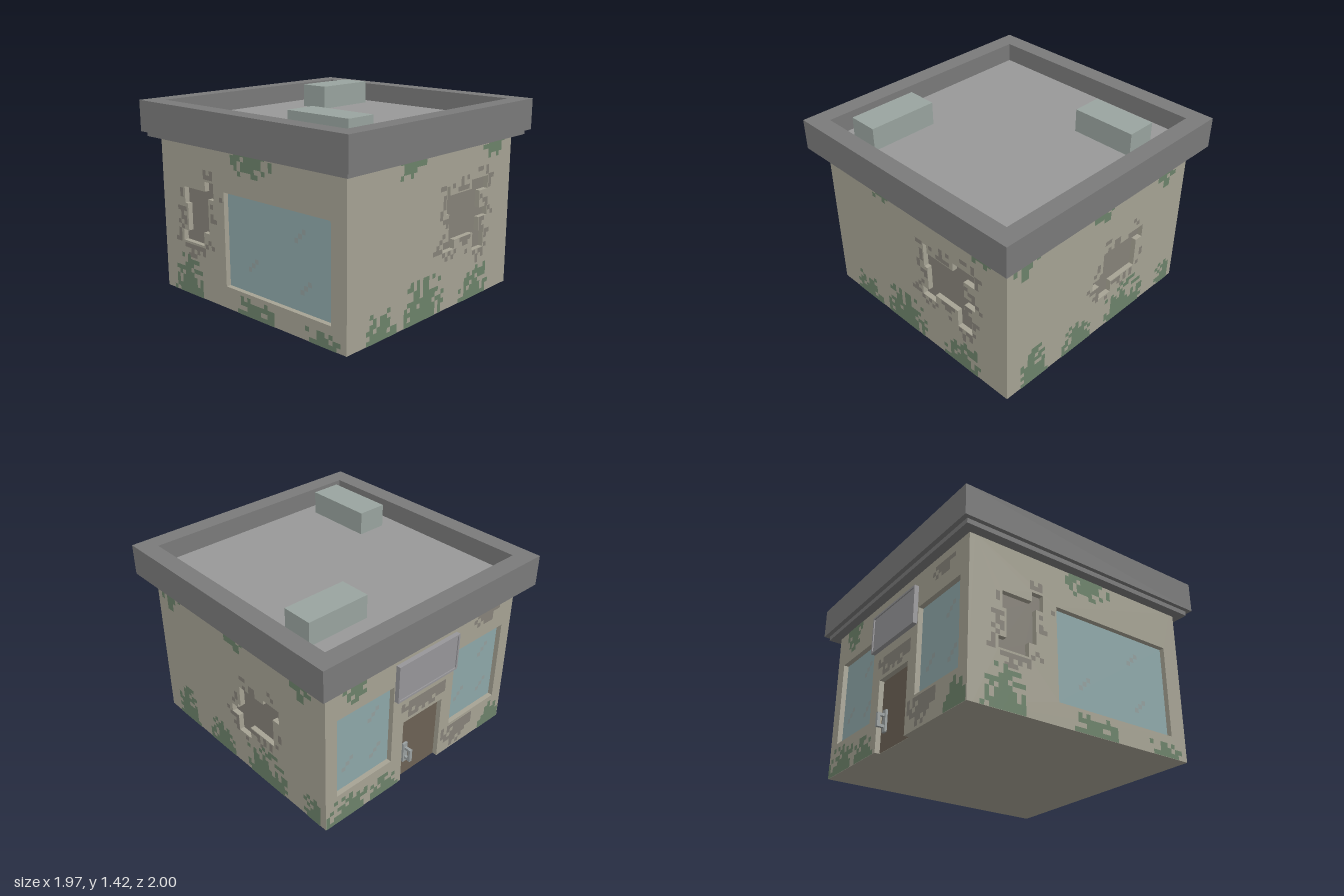
import * as THREE from 'three';
import { mergeGeometries } from 'three/addons/utils/BufferGeometryUtils.js';

const HX = 0.885, HZ = 0.9, WALL_H = 1.14, DEPTH = 0.04, CELL = 0.0335;

const mat = (color) => new THREE.MeshStandardMaterial({ color, flatShading: true });
const M = {
  wall: mat(0xa7a495), stain: mat(0x87837a), moss: mat(0x6d836b), trim: mat(0x7b7b7b), roof: mat(0x999999),
  unit: mat(0x9aa5a0), glass: mat(0x8fa9aa), door: mat(0x6d6356), metal: mat(0x9ba1a1), sign: mat(0x98979a),
  scratch: mat(0x94a09f),
};

// Small repeatable number generator
let seed = 11;
const rand = () => {
  seed = (seed * 16807) % 2147483647;
  return seed / 2147483647;
};

function add(parent, name, geometry, material, x = 0, y = 0, z = 0) {
  const mesh = new THREE.Mesh(geometry, material);
  mesh.name = name;
  mesh.position.set(x, y, z);
  parent.add(mesh);
  return mesh;
}

// Box given by its min and max on each axis
function block(parent, name, material, [x0, x1], [y0, y1], [z0, z1]) {
  return add(parent, name, new THREE.BoxGeometry(x1 - x0, y1 - y0, z1 - z0), material,
    (x0 + x1) / 2, (y0 + y1) / 2, (z0 + z1) / 2);
}

const toPoints = (list) => list.map(([x, y]) => new THREE.Vector2(x, y));
const rect = (x0, x1, y0, y1) => [[x0, y0], [x1, y0], [x1, y1], [x0, y1]];

function inside(poly, x, y) {
  let hit = false;
  poly.forEach(([ax, ay], i) => {
    const [bx, by] = poly[(i + 1) % poly.length];
    if ((ay > y) !== (by > y) && x < ((bx - ax) * (y - ay)) / (by - ay) + ax) hit = !hit;
  });
  return hit;
}

// Square wall marks, kept clear of the openings
function marks(parent, name, material, cells, z) {
  if (!cells.length) return;
  const quads = cells.map(([x, y]) => new THREE.PlaneGeometry(CELL, CELL).translate(x, y, z));
  add(parent, name, mergeGeometries(quads), material);
}

// Ragged patch, densest at its root; dir +1 grows up, -1 hangs down
function patch([u, root, w, h, dir], isFree) {
  const cells = [];
  for (let j = 0; j < h / CELL; j++) {
    for (let i = -Math.round(w / 2 / CELL); i <= w / 2 / CELL; i++) {
      const x = u + i * CELL, y = root + dir * (j + 0.5) * CELL;
      const chance = 1.35 - Math.abs(i * CELL) / w * 1.5 - (j * CELL / h) * 0.75;
      if (rand() < chance && isFree(x, y)) cells.push([x, y]);
    }
  }
  return cells;
}

// Crumbled ring around a broken patch
function halo(poly, isFree) {
  const cells = [];
  for (let x = -0.82; x < 0.83; x += CELL) {
    for (let y = 0.1; y < 1.1; y += CELL) {
      if (!isFree(x, y)) continue;
      for (let k = 1; k <= 3; k++) {
        const d = k * CELL;
        const near = [[d, 0], [-d, 0], [0, d], [0, -d]].some(([a, b]) => inside(poly, x + a, y + b));
        if (near) {
          if (rand() < [0, 0.62, 0.36, 0.18][k]) cells.push([x, y]);
          break;
        }
      }
    }
  }
  return cells;
}

// One wall: u runs to the viewer's right, z points outward
function makeWall(name, half, { broken = [], windows = [], door, moss = [], stains = [] }) {
  const g = new THREE.Group();
  g.name = name;
  const outline = door
    ? [[-half, 0], [-door[0], 0], [-door[0], door[1]], [door[0], door[1]], [door[0], 0], [half, 0]]
    : [[-half, 0], [half, 0]];
  const shape = new THREE.Shape(toPoints([...outline, [half, WALL_H], [-half, WALL_H]]));
  const openings = [...broken, ...windows];
  openings.forEach((p) => shape.holes.push(new THREE.Path(toPoints(p))));
  add(g, 'wallPanel', new THREE.ExtrudeGeometry(shape, { depth: DEPTH, bevelEnabled: false }), M.wall, 0, 0, -DEPTH);

  const pane = (part, poly, material) =>
    add(g, part, new THREE.ShapeGeometry(new THREE.Shape(toPoints(poly))), material, 0, 0, -DEPTH + 0.003);
  broken.forEach((p) => pane('brokenPlaster', p, M.stain));
  windows.forEach((p) => {
    pane('windowGlass', p, M.glass);
    const [[x0, y0], , [x1, y1]] = p, scratches = [];
    [[0.25, 0.3], [0.7, 0.75], [0.75, 0.25]].forEach(([a, b]) => {
      for (let i = -1; i <= 1; i++) scratches.push([x0 + (x1 - x0) * a + i * CELL, y0 + (y1 - y0) * b + i * CELL]);
    });
    marks(g, 'glassScratches', M.scratch, scratches, -DEPTH + 0.005);
  });
  const blocked = [...openings];
  if (door) {
    const leaf = rect(-door[0], door[0], 0, door[1]);
    pane('door', leaf, M.door);
    blocked.push(leaf);
  }

  const e = CELL * 0.42;
  const isFree = (x, y) => Math.abs(x) < half - CELL / 2 && y > 0 && y < WALL_H &&
    !blocked.some((p) => [[e, e], [-e, e], [e, -e], [-e, -e]].some(([a, b]) => inside(p, x + a, y + b)));
  marks(g, 'plasterStains', M.stain,
    [...broken.flatMap((p) => halo(p, isFree)), ...stains.flatMap((s) => patch(s, isFree))], 0.002);
  marks(g, 'moss', M.moss, moss.flatMap((m) => patch(m, isFree)), 0.003);
  return g;
}

export function createModel() {
  const model = new THREE.Group();
  model.name = 'shop';
  const low = (u, w, h) => [u, 0, w, h, 1];
  const high = (u, w, h) => [u, 1.135, w, h, -1];

  // Walls
  const front = makeWall('frontWall', HX, {
    broken: [[[0.11, 0.875], [0.145, 0.875], [0.145, 0.81], [0.4, 0.81], [0.4, 0.875], [0.6, 0.875], [0.6, 0.78],
      [0.5, 0.78], [0.5, 0.655], [0.6, 0.655], [0.6, 0.585], [0.5, 0.585], [0.5, 0.485], [0.565, 0.485],
      [0.565, 0.355], [0.43, 0.355], [0.43, 0.485], [0.21, 0.485], [0.21, 0.42], [0.08, 0.42], [0.08, 0.49],
      [0.14, 0.49], [0.14, 0.68], [0.11, 0.68]]],
    moss: [low(-0.56, 0.28, 0.2), low(-0.12, 0.46, 0.28), low(0.46, 0.36, 0.22), high(-0.28, 0.3, 0.12), high(0.67, 0.25, 0.12)],
  });
  front.position.z = HZ;

  const right = makeWall('sideWall', HZ - DEPTH, {
    broken: [[[0.03, 0.685], [0.29, 0.685], [0.29, 0.72], [0.45, 0.72], [0.45, 0.615], [0.385, 0.615], [0.385, 0.39],
      [0.13, 0.39], [0.13, 0.295], [0, 0.295], [0, 0.42], [-0.07, 0.42], [-0.07, 0.49], [0, 0.49], [0, 0.52], [0.03, 0.52]]],
    moss: [low(-0.66, 0.28, 0.27), low(-0.22, 0.3, 0.21), low(0.3, 0.42, 0.28), low(0.8, 0.2, 0.18),
      high(-0.73, 0.24, 0.17), high(-0.02, 0.24, 0.17), high(0.66, 0.22, 0.17)],
  });
  right.position.x = HX;
  right.rotation.y = Math.PI / 2;

  const back = makeWall('shopWall', HX, {
    windows: [rect(-0.79, -0.295, 0.24, 0.87), rect(0.295, 0.79, 0.24, 0.87)],
    door: [0.19, 0.52],
    moss: [high(-0.63, 0.26, 0.2), low(-0.7, 0.36, 0.2), low(-0.37, 0.3, 0.15), low(0.76, 0.24, 0.2)],
    stains: [[0, 0.68, 0.42, 0.13, -1], [0.62, 1.07, 0.3, 0.1, -1], [0.4, 0.22, 0.32, 0.2, -1]],
  });
  back.position.z = -HZ;
  back.rotation.y = Math.PI;

  const left = makeWall('windowWall', HZ - DEPTH, {
    windows: [rect(-0.22, 0.77, 0.16, 0.83)],
    broken: [[[-0.65, 0.8], [-0.42, 0.8], [-0.42, 0.87], [-0.33, 0.87], [-0.33, 0.75], [-0.39, 0.75], [-0.39, 0.5],
      [-0.45, 0.5], [-0.45, 0.4], [-0.68, 0.4], [-0.68, 0.48], [-0.62, 0.48], [-0.62, 0.68], [-0.65, 0.68]]],
    moss: [high(0.08, 0.4, 0.15), low(-0.63, 0.32, 0.3), low(0.08, 0.35, 0.12), low(0.7, 0.28, 0.1)],
  });
  left.position.x = -HX;
  left.rotation.y = -Math.PI / 2;
  model.add(front, right, back, left);

  // Sign board with raised rim, blank face
  block(back, 'signBoard', M.sign, [-0.275, 0.275], [0.76, 1.02], [0, 0.025]);
  for (const s of [-1, 1]) {
    block(back, 'signRim', M.sign, [s * 0.28 - 0.007, s * 0.28 + 0.007], [0.75, 1.035], [0, 0.033]);
    block(back, 'signRim', M.sign, [-0.273, 0.273], [0.8925 + s * 0.1355 - 0.007, 0.8925 + s * 0.1355 + 0.007], [0, 0.033]);
  }

  // Door handle
  block(back, 'handlePlate', M.metal, [-0.15, -0.11], [0.13, 0.29], [-DEPTH, -0.02]);
  block(back, 'handleBar', M.metal, [-0.142, -0.118], [0.16, 0.26], [0.012, 0.033]);
  for (const y of [0.17, 0.25]) {
    block(back, 'handlePost', M.metal, [-0.14, -0.12], [y - 0.01, y + 0.01], [-0.02, 0.014]);
  }

  // Floor slab
  block(model, 'floor', M.wall, [-HX + DEPTH, HX - DEPTH], [0, 0.02], [-HZ + DEPTH, HZ - DEPTH]);

  // Cornice, parapet ring and roof deck
  block(model, 'cornice', M.trim, [-0.955, 0.955], [1.13, 1.166], [-0.967, 0.967]);
  const ring = new THREE.Shape(toPoints(rect(-0.985, 0.985, -1, 1)));
  ring.holes.push(new THREE.Path(toPoints(rect(-0.855, 0.855, -0.87, 0.87))));
  const parapet = new THREE.ExtrudeGeometry(ring, { depth: 0.225, bevelEnabled: false }).rotateX(-Math.PI / 2);
  add(model, 'parapet', parapet, M.trim, 0, 1.165, 0);
  block(model, 'roofDeck', M.roof, [-0.86, 0.86], [1.167, 1.25], [-0.875, 0.875]);

  // Roof units
  block(model, 'roofUnit', M.unit, [-0.73, -0.505], [1.25, 1.42], [0.25, 0.77]);
  block(model, 'roofUnit', M.unit, [0.275, 0.755], [1.25, 1.42], [-0.615, -0.39]);
  return model;
}
